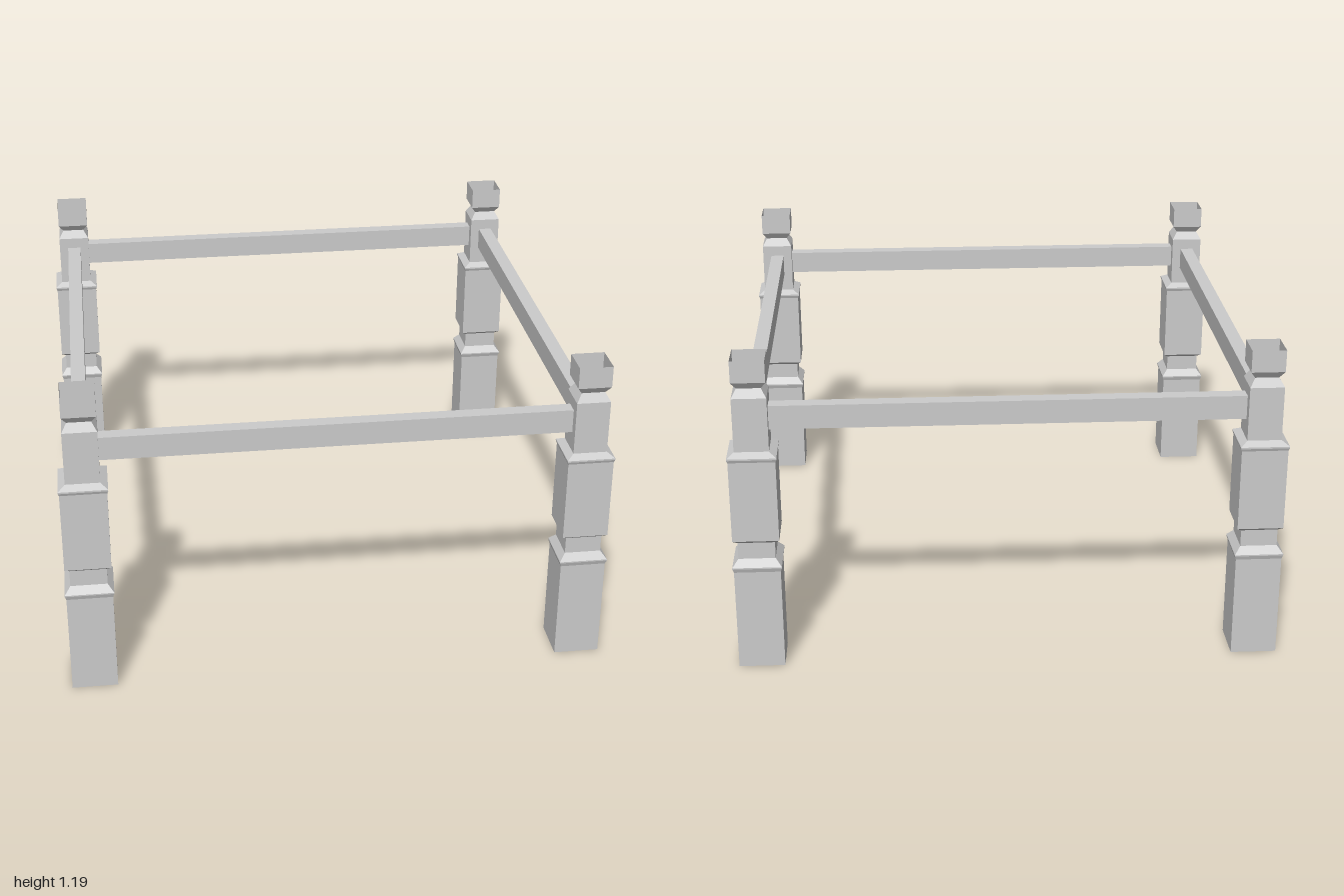
import * as THREE from 'three';

const CENTRE = 0.911; // distance of posts and rails from the middle

export function createModel() {
  const model = new THREE.Group();
  model.name = 'tableFrame';
  const material = new THREE.MeshStandardMaterial({
    color: 0xcccccc, flatShading: true, side: THREE.DoubleSide,
  });

  // Square post: [half width, height], closed at the foot and open at the top
  const profile = [
    [0, 0], [0.084, 0], [0.084, 0.385], [0.089, 0.4], [0.089, 0.405],
    [0.067, 0.432], [0.067, 0.495], [0.084, 0.508], [0.084, 0.815],
    [0.088, 0.825], [0.088, 0.831], [0.062, 0.847], [0.062, 1.048],
    [0.043, 1.08], [0.061, 1.106], [0.061, 1.187],
  ].map(([half, y]) => new THREE.Vector2(half * Math.SQRT2, y));
  const postGeometry = new THREE.LatheGeometry(profile, 4).rotateY(Math.PI / 4);

  for (const [z, end] of [[1, 'front'], [-1, 'back']]) {
    for (const [x, side] of [[1, 'Left'], [-1, 'Right']]) {
      const post = new THREE.Mesh(postGeometry, material);
      post.name = `${end}${side}Post`;
      post.position.set(x * CENTRE, 0, z * CENTRE);
      model.add(post);
    }
  }

  // Four rails joining the posts, their ends let into the hollow posts
  const railGeometry = new THREE.BoxGeometry(1.77, 0.088, 0.053);
  ['front', 'left', 'back', 'right'].forEach((name, i) => {
    const angle = i * Math.PI / 2;
    const rail = new THREE.Mesh(railGeometry, material);
    rail.name = `${name}Rail`;
    rail.rotation.y = angle;
    rail.position.set(Math.sin(angle) * CENTRE, 0.961, Math.cos(angle) * CENTRE);
    model.add(rail);
  });

  return model;
}
